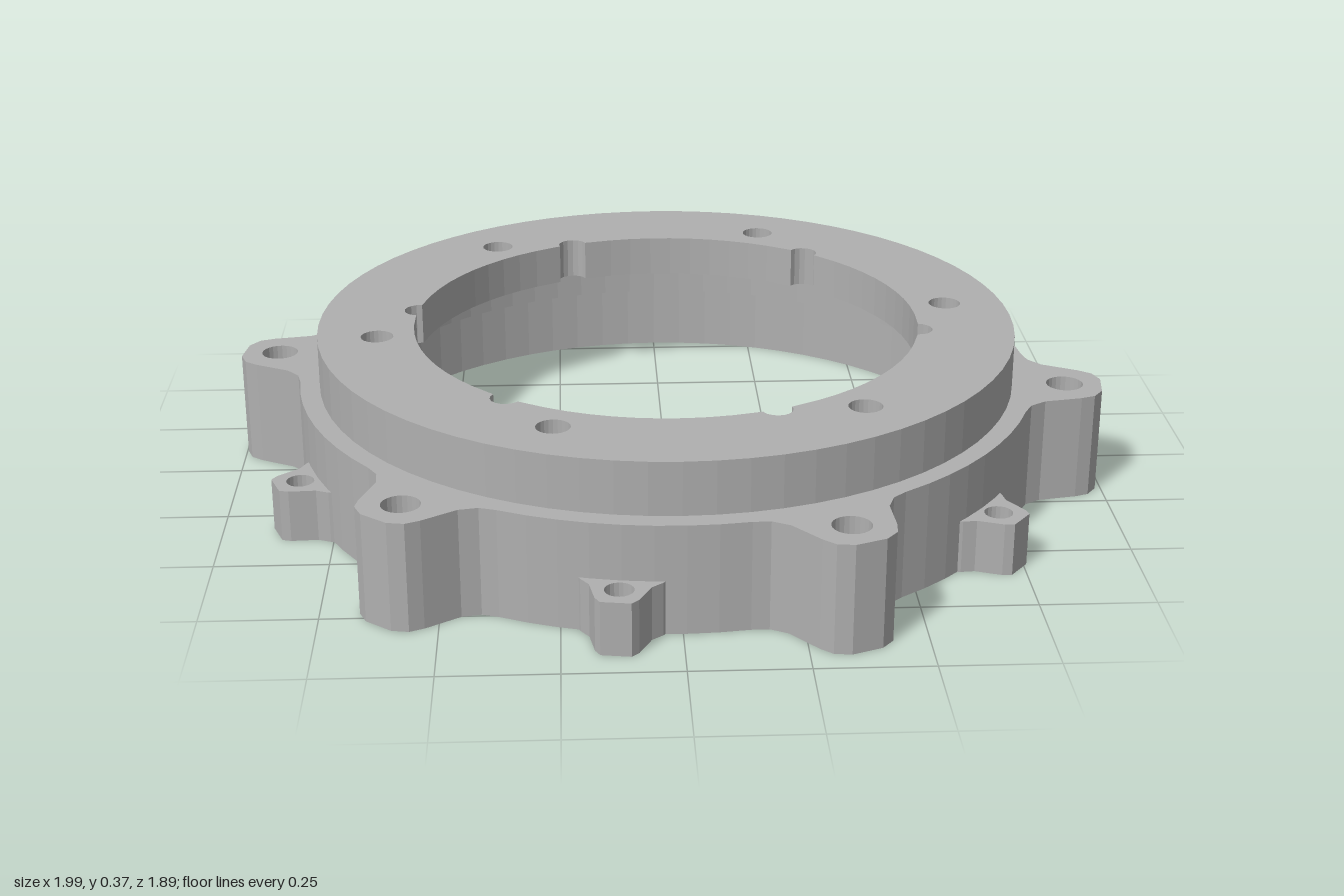
import * as THREE from 'three';

const DEG = Math.PI / 180;
const SIX = [0, 1, 2, 3, 4, 5];

// Point given by radial / tangential offsets, turned to an angle in degrees
function polar(u, v, deg) {
  const c = Math.cos(deg * DEG), s = Math.sin(deg * DEG);
  return new THREE.Vector2(u * c - v * s, u * s + v * c);
}

function circle(r, n, u = 0, deg = 0) {
  const o = polar(u, 0, deg), pts = [];
  for (let i = 0; i < n; i++) pts.push(polar(r, 0, i * 360 / n).add(o));
  return pts;
}

// Ring with six lugs
function lugOutline() {
  const half = [[0.84, 0.14], [0.872, 0.112], [0.955, 0.084], [0.985, 0.068], [1.003, 0.035]];
  const lug = [...half.map(([u, v]) => [u, -v]), ...half.slice().reverse()];
  const pts = [];
  for (const k of SIX) {
    const a = 8.5 + k * 60;
    for (const [u, v] of lug) pts.push(polar(u, v, a));
    for (let d = 12; d <= 48; d += 4.5) pts.push(polar(0.845, 0, a + d));
  }
  return pts;
}

// Central opening with six round notches
function notchedOpening() {
  const pts = [], R = 0.58, r = 0.034;
  for (const k of SIX) {
    const a = 8.5 + k * 60;
    for (let t = -90; t <= 90; t += 22.5) {
      pts.push(polar(R + r * Math.cos(t * DEG), r * Math.sin(t * DEG), a));
    }
    for (let d = 5; d <= 55; d += 5) pts.push(polar(R, 0, a + d));
  }
  return pts;
}

export function createModel() {
  const group = new THREE.Group();
  const grey = new THREE.MeshStandardMaterial({ color: 0xb0b0b0 });
  grey.name = 'machined grey';

  // Horizontal plate between two heights
  function plate(name, outline, holes, y0, y1) {
    const shape = new THREE.Shape(outline);
    for (const h of holes) shape.holes.push(new THREE.Path(h));
    const geo = new THREE.ExtrudeGeometry(shape, { depth: y1 - y0, bevelEnabled: false });
    geo.rotateX(Math.PI / 2).translate(0, y1, 0);
    const mesh = new THREE.Mesh(geo, grey);
    mesh.name = name;
    group.add(mesh);
  }

  // Lugged base with a stepped bore
  const outline = lugOutline();
  const lugHoles = SIX.map(k => circle(0.042, 24, 0.92, 8.5 + k * 60));
  plate('lowerBase', outline, [circle(0.785, 72), ...lugHoles], 0, 0.165);
  plate('upperBase', outline, [circle(0.74, 72), ...lugHoles], 0.165, 0.245);

  // Raised collar and its inward flange with blind screw holes
  const collar = circle(0.8, 72);
  const opening = notchedOpening();
  const pits = SIX.map(k => circle(0.037, 24, 0.665, -7 + k * 60));
  plate('collarWall', collar, [circle(0.74, 72)], 0.245, 0.27);
  plate('flangeFloor', collar, [opening], 0.27, 0.295);
  plate('flangeTop', collar, [opening, ...pits], 0.295, 0.365);

  // Small low tabs between the lugs
  const tab = [[0.82, -0.1], [0.846, -0.085], [0.868, -0.064], [0.925, -0.045], [0.942, -0.032],
    [0.942, 0.032], [0.925, 0.045], [0.868, 0.064], [0.846, 0.085], [0.82, 0.1]];
  for (const k of SIX) {
    const a = 38.5 + k * 60;
    plate('smallTab', tab.map(([u, v]) => polar(u, v, a)), [circle(0.031, 20, 0.885, a)], 0, 0.12);
  }
  return group;
}
